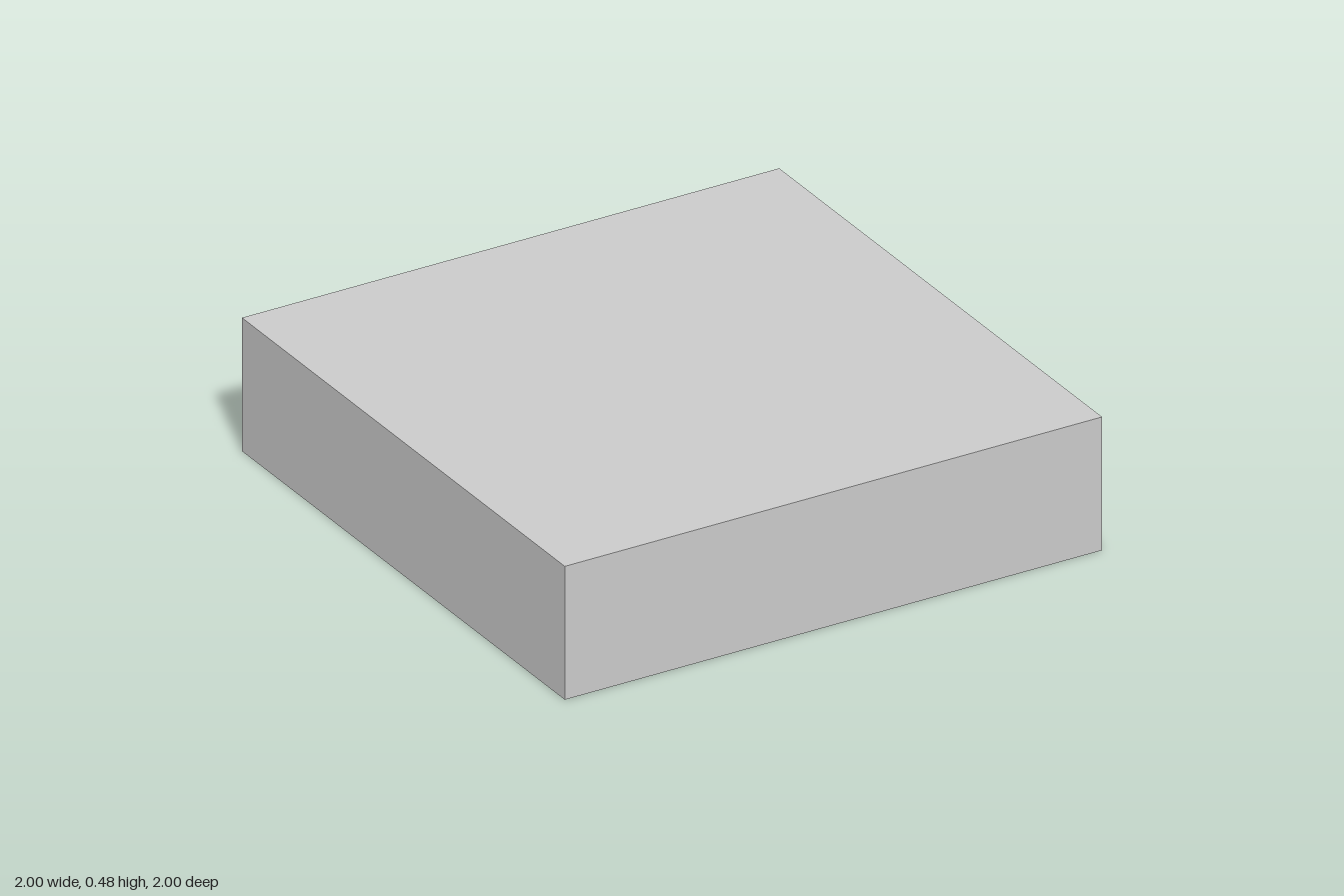
import * as THREE from 'three';

const W = 2, H = 0.48, D = 2, T = 0.045; // outer size and wall thickness
const COLS = 6, PITCH = 0.2445, WIN_W = 0.122, WIN_H = 0.117;
const ROWS = [0.168, 0.312]; // window centre heights

// Closed rectangle centred on (cx, cy)
function rect(Type, cx, cy, w, h) {
  const p = new Type();
  p.moveTo(cx - w / 2, cy - h / 2);
  p.lineTo(cx + w / 2, cy - h / 2);
  p.lineTo(cx + w / 2, cy + h / 2);
  p.lineTo(cx - w / 2, cy + h / 2);
  p.closePath();
  return p;
}

export function createModel() {
  const model = new THREE.Group();
  model.name = 'windowedBox';
  const material = new THREE.MeshStandardMaterial({ color: 0xcccccc, flatShading: true });

  // Extrudes the outer outline, less its holes, from z to z + depth
  function addSection(name, holes, z, depth) {
    const shape = rect(THREE.Shape, 0, H / 2, W, H);
    shape.holes.push(...holes);
    const geometry = new THREE.ExtrudeGeometry(shape, { depth, bevelEnabled: false });
    geometry.translate(0, 0, z);
    const mesh = new THREE.Mesh(geometry, material);
    mesh.name = name;
    model.add(mesh);
  }

  // Floor, roof and side walls around the hollow interior
  const cavity = rect(THREE.Path, 0, H / 2, W - 2 * T, H - 2 * T);
  addSection('floorRoofAndSides', [cavity], -D / 2 + T, D - 2 * T);

  // Plain front wall
  addSection('frontWall', [], D / 2 - T, T);

  // Back wall pierced by two rows of square windows
  const windows = [];
  for (const y of ROWS) {
    for (let i = 0; i < COLS; i++) {
      windows.push(rect(THREE.Path, (i - (COLS - 1) / 2) * PITCH, y, WIN_W, WIN_H));
    }
  }
  addSection('backWall', windows, -D / 2, T);

  return model;
}
